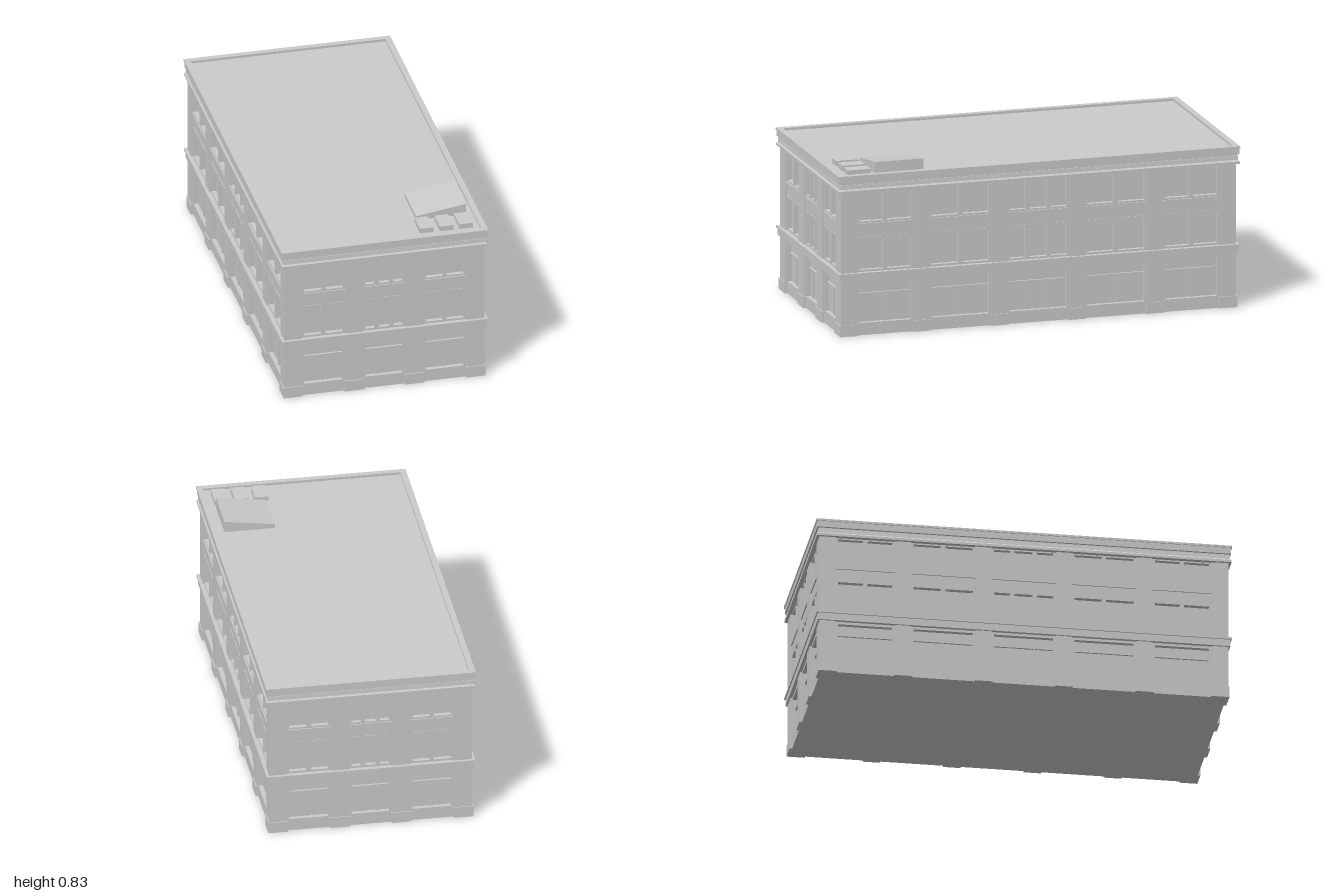
import * as THREE from 'three';

const W = 0.489, D = 0.984;          // half width and half depth of the walls
const RECESS = 0.008, GLASS = 0.03;  // depth of infill face and of glazing behind the piers
const mat = new THREE.MeshStandardMaterial({ color: 0xcccccc, flatShading: true });

function add(parent, name, geometry) {
  const mesh = new THREE.Mesh(geometry, mat);
  mesh.name = name;
  parent.add(mesh);
  return mesh;
}

// Box given by its limits on each axis
function block(parent, name, x0, x1, y0, y1, z0, z1) {
  const mesh = add(parent, name, new THREE.BoxGeometry(x1 - x0, y1 - y0, z1 - z0));
  mesh.position.set((x0 + x1) / 2, (y0 + y1) / 2, (z0 + z1) / 2);
  return mesh;
}

// Moulding swept around the rectangular plan; profile is [offset from wall, height]
function moulding(profile) {
  const pos = [];
  const signs = [[1, 1], [1, -1], [-1, -1], [-1, 1]];
  const point = (k, [o, y]) => [signs[k % 4][0] * (W + o), y, signs[k % 4][1] * (D + o)];
  for (let i = 0; i < profile.length - 1; i++) {
    for (let k = 0; k < 4; k++) {
      const a = point(k, profile[i]), b = point(k + 1, profile[i]);
      const c = point(k + 1, profile[i + 1]), d = point(k, profile[i + 1]);
      pos.push(...a, ...b, ...c, ...a, ...c, ...d);
    }
  }
  const geo = new THREE.BufferGeometry();
  geo.setAttribute('position', new THREE.Float32BufferAttribute(pos, 3));
  geo.computeVertexNormals();
  return geo;
}

function rectHole(x0, x1, y0, y1) {
  return new THREE.Path([[x0, y0], [x0, y1], [x1, y1], [x1, y0]].map(p => new THREE.Vector2(...p)));
}

// Split a bay into panes separated by posts
function panes(x0, x1, weights, gap) {
  const total = weights.reduce((s, w) => s + w, 0);
  const unit = (x1 - x0 - gap * (weights.length - 1)) / total;
  let x = x0;
  return weights.map(w => {
    const pane = [x, x + w * unit];
    x = pane[1] + gap;
    return pane;
  });
}

// One wall: outer face at z = 0, bays listed from left to right
function facade(name, half, bays, gap) {
  const wall = new THREE.Group();
  wall.name = name;
  const edge = half - RECESS;
  const infill = new THREE.Shape([[-edge, 0], [edge, 0], [edge, 0.71], [-edge, 0.71]].map(p => new THREE.Vector2(...p)));

  for (const [x0, x1, weights] of bays) {
    const l = x0 + 0.012, r = x1 - 0.012;
    const split = panes(l, r, weights, gap);
    // Shop window with transom and mullions
    infill.holes.push(rectHole(l, r, 0.06, 0.252));
    block(wall, 'transom', l, r, 0.196, 0.203, -GLASS, -0.02);
    for (let i = 1; i < split.length; i++) {
      const m = (split[i - 1][1] + split[i][0]) / 2;
      block(wall, 'mullion', m - 0.003, m + 0.003, 0.06, 0.196, -GLASS, -0.022);
    }
    // Upper windows, lintels and the sill ledge
    for (const [a, b] of split) {
      infill.holes.push(rectHole(a, b, 0.32, 0.472), rectHole(a, b, 0.558, 0.697));
      block(wall, 'lintel', a, b, 0.472, 0.481, -0.012, -RECESS + 0.003);
    }
    block(wall, 'sillLedge', x0, x1, 0.54, 0.549, -0.012, -0.002);
  }

  const geo = new THREE.ExtrudeGeometry(infill, { depth: GLASS - RECESS, bevelEnabled: false });
  add(wall, 'windowInfill', geo).position.z = -GLASS;

  // Piers fill the spaces between bays, each on a plinth
  const ends = [-half, ...bays.flatMap(b => [b[0], b[1]]), half];
  for (let i = 0; i < ends.length; i += 2) {
    const first = i === 0, last = i === ends.length - 2;
    block(wall, 'pier', ends[i], ends[i + 1], 0, 0.71, -0.012, 0);
    block(wall, 'plinth', ends[i] - (first ? 0.005 : 0.004), ends[i + 1] + (last ? 0.005 : 0.004), 0, 0.055, -0.012, 0.005);
  }
  return wall;
}

export function createModel() {
  const model = new THREE.Group();
  model.name = 'commercialBuilding';

  // Glazed core behind the walls
  block(model, 'glazingCore', -W + GLASS, W - GLASS, 0, 0.77, -D + GLASS, D - GLASS);

  const two = [1, 1], three = [1, 1.1, 1];
  const endBays = [[-0.403, -0.19, two], [-0.103, 0.103, three], [0.19, 0.403, two]];
  const sideBays = [
    [-0.905, -0.62, two], [-0.542, -0.232, two], [-0.155, 0.155, three],
    [0.232, 0.542, two], [0.62, 0.905, two],
  ];
  for (const s of [1, -1]) {
    const end = facade(s > 0 ? 'frontWall' : 'backWall', W, endBays, 0.02);
    end.position.z = s * D;
    if (s < 0) end.rotation.y = Math.PI;
    const side = facade(s > 0 ? 'leftWall' : 'rightWall', D, sideBays, 0.021);
    side.position.x = s * W;
    side.rotation.y = s * Math.PI / 2;
    model.add(end, side);
  }

  // Band above the ground floor
  add(model, 'floorBand', moulding([
    [-0.02, 0.265], [0.009, 0.265], [0.009, 0.3], [0.015, 0.3], [0.015, 0.31], [-0.02, 0.31],
  ]));

  // Cornice and parapet
  add(model, 'cornice', moulding([
    [-0.02, 0.704], [0.014, 0.704], [0.014, 0.716], [0.008, 0.723], [0.006, 0.744],
    [0.002, 0.744], [0.002, 0.749], [0.012, 0.749], [0.012, 0.78], [0.016, 0.78],
    [0.016, 0.79], [-0.013, 0.79], [-0.013, 0.77],
  ]));
  block(model, 'roof', -W + 0.012, W - 0.012, 0.75, 0.778, -D + 0.012, D - 0.012);

  // Sloped roof housing, high on the +x side
  const wedge = new THREE.Shape([[0.2, 0.775], [0.443, 0.775], [0.443, 0.834], [0.2, 0.798]].map(p => new THREE.Vector2(...p)));
  add(model, 'roofHousing', new THREE.ExtrudeGeometry(wedge, { depth: 0.24, bevelEnabled: false })).position.z = 0.56;

  // Row of low roof vents
  for (const x of [0.219, 0.316, 0.412]) {
    block(model, 'roofVent', x - 0.033, x + 0.033, 0.775, 0.803, 0.822, 0.935);
  }
  return model;
}
